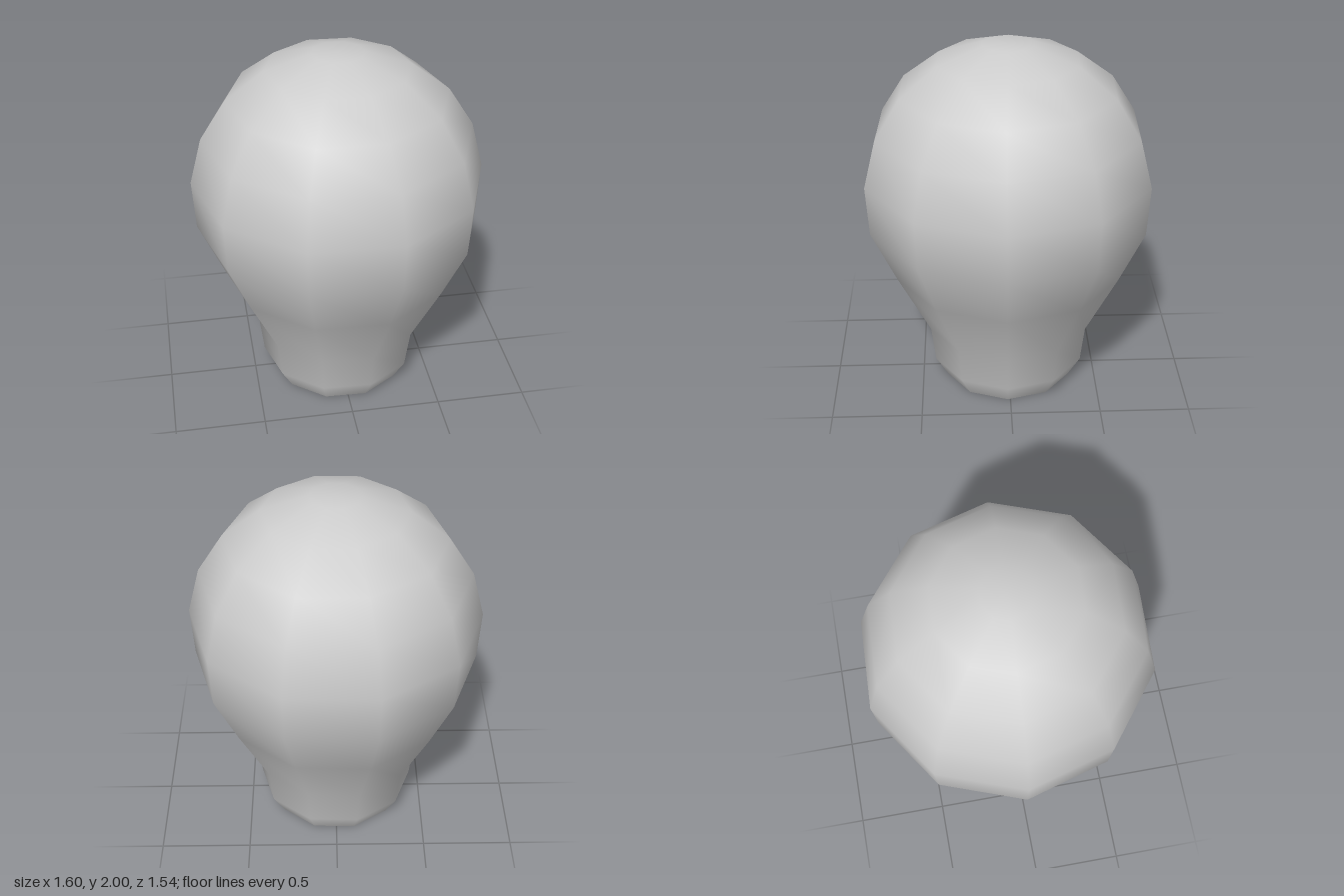
import * as THREE from 'three';

export function createModel() {
  const group = new THREE.Group();
  group.name = 'bulb';
  const SIDES = 10;
  const TURN = 0.039; // slight twist of the ten-sided ring about y

  const paleGrey = new THREE.MeshStandardMaterial({ color: 0xcccccc });
  paleGrey.name = 'paleGrey';

  // Smooth bulb: neck, flared shoulder, round crown (radius, height)
  const profile = [
    [0.37, 0], [0.44, 0.12], [0.465, 0.33], [0.645, 0.69], [0.785, 1.0],
    [0.802, 1.28], [0.735, 1.54], [0.598, 1.755], [0.39, 1.915], [0.14, 2], [0, 2],
  ].map(([r, y]) => new THREE.Vector2(r, y));
  const body = new THREE.Mesh(
    new THREE.LatheGeometry(profile, SIDES, Math.PI / 2 - TURN), paleGrey);
  body.name = 'bulbBody';
  group.add(body);

  // Flat underside closing the neck
  const base = new THREE.Mesh(
    new THREE.CircleGeometry(profile[0].x, SIDES, TURN).rotateX(Math.PI / 2), paleGrey);
  base.name = 'neckBase';
  group.add(base);

  return group;
}
